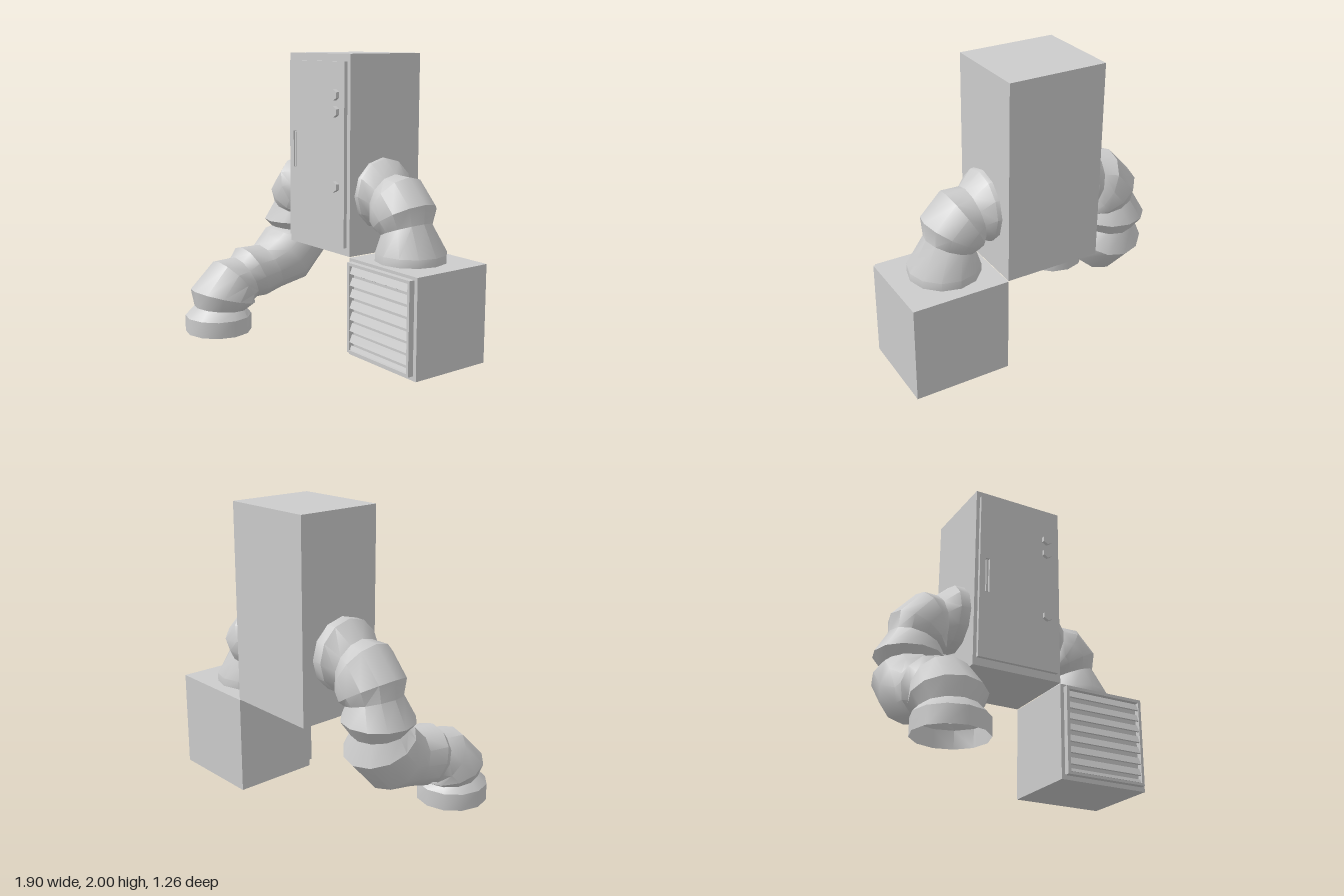
import * as THREE from 'three';
import { toCreasedNormals } from 'three/addons/utils/BufferGeometryUtils.js';

const grey = new THREE.MeshStandardMaterial({ color: 0xcccccc });
const greyOpen = new THREE.MeshStandardMaterial({ color: 0xcccccc, side: THREE.DoubleSide });
const SIDES = 12;

function mesh(name, geometry, material = grey) {
  const m = new THREE.Mesh(geometry, material);
  m.name = name;
  return m;
}

// Box given by its two opposite corners
function box(name, [x0, y0, z0], [x1, y1, z1]) {
  const m = mesh(name, new THREE.BoxGeometry(x1 - x0, y1 - y0, z1 - z0));
  m.position.set((x0 + x1) / 2, (y0 + y1) / 2, (z0 + z1) / 2);
  return m;
}

// Upright plate with a rectangular opening; rectangles are [x0, y0, x1, y1]
function plate(name, outer, hole, z, depth) {
  const corners = ([a, b, c, d]) => [[a, b], [c, b], [c, d], [a, d]].map(p => new THREE.Vector2(...p));
  const shape = new THREE.Shape(corners(outer));
  shape.holes.push(new THREE.Path(corners(hole).reverse()));
  const m = mesh(name, new THREE.ExtrudeGeometry(shape, { depth, bevelEnabled: false }));
  m.position.z = z;
  return m;
}

// Ribbed hose: each ring is a circle spanned by two opposite points of the bend plane
function hose(name, rings, toPoint, axis) {
  const positions = [], index = [];
  rings.forEach(([ax, ay, bx, by], i) => {
    const a = toPoint(ax, ay), b = toPoint(bx, by);
    const centre = a.clone().add(b).multiplyScalar(0.5);
    const u = a.sub(centre), r = u.length();
    for (let j = 0; j < SIDES; j++) {
      const t = (j / SIDES) * Math.PI * 2;
      const p = centre.clone().addScaledVector(u, Math.cos(t)).addScaledVector(axis, r * Math.sin(t));
      positions.push(p.x, p.y, p.z);
      if (i > 0) {
        const k = (j + 1) % SIDES, p0 = (i - 1) * SIDES, p1 = i * SIDES;
        index.push(p0 + j, p0 + k, p1 + k, p0 + j, p1 + k, p1 + j);
      }
    }
  });
  const g = new THREE.BufferGeometry();
  g.setAttribute('position', new THREE.Float32BufferAttribute(positions, 3));
  g.setIndex(index);
  return mesh(name, toCreasedNormals(g, 0.65), greyOpen);
}

export function createModel() {
  const model = new THREE.Group();
  model.name = 'ductedCabinet';

  // Tall cabinet and low vent box
  model.add(box('cabinet', [-0.38, 0.67, -0.63], [0.287, 2, -0.03]));
  model.add(box('ventBox', [0.287, 0, -0.63], [0.95, 0.665, -0.03]));

  // Door with a recessed handle
  model.add(plate('door', [-0.355, 0.725, 0.255, 1.95], [-0.312, 1.21, -0.28, 1.465], -0.03, 0.025));
  model.add(box('handle', [-0.303, 1.215, -0.03], [-0.289, 1.46, -0.008]));

  // Hexagonal knobs
  for (const y of [1.735, 1.625, 1.13]) {
    const knob = mesh('knob', new THREE.CylinderGeometry(0.037, 0.037, 0.025, 6).toNonIndexed());
    knob.geometry.computeVertexNormals();
    knob.rotation.x = Math.PI / 2;
    knob.position.set(0.17, y, 0.008);
    model.add(knob);
  }

  // Vent grille: frame and slanted slats
  model.add(plate('ventFrame', [0.313, 0.03, 0.922, 0.645], [0.335, 0.048, 0.902, 0.625], -0.03, 0.04));
  for (let i = 0; i < 8; i++) {
    const h = i < 7 ? 0.056 : 0.026;
    const slat = mesh('ventSlat', new THREE.BoxGeometry(0.567, h, 0.01));
    slat.rotation.x = -0.42;
    slat.position.set(0.6185, 0.622 - i * 0.078 - h / 2, -0.01);
    model.add(slat);
  }

  // Left elbow, cabinet side to vent box top
  const sideways = (x, y) => new THREE.Vector3(x, y, -0.31);
  model.add(hose('leftElbow', [
    [0.28, 1.315, 0.28, 0.83],
    [0.315, 1.31, 0.315, 0.835],
    [0.416, 1.215, 0.335, 0.85],
    [0.55, 1.21, 0.33, 0.82],
    [0.708, 1.05, 0.325, 0.825],
    [0.70, 0.923, 0.37, 0.80],
    [0.82, 0.72, 0.34, 0.72],
    [0.82, 0.66, 0.34, 0.66],
  ], sideways, new THREE.Vector3(0, 0, 1)));

  // Right elbow, cabinet side bending down
  model.add(hose('rightElbow', [
    [-0.37, 1.333, -0.37, 0.853],
    [-0.45, 1.333, -0.45, 0.853],
    [-0.565, 1.23, -0.48, 0.87],
    [-0.687, 1.225, -0.475, 0.83],
    [-0.857, 1.04, -0.47, 0.81],
    [-0.857, 0.915, -0.495, 0.81],
    [-0.953, 0.75, -0.475, 0.75],
  ], sideways, new THREE.Vector3(0, 0, -1)));

  // Right lower hose, bending forward and down to an open foot collar
  model.add(hose('rightLowerHose', [
    [-0.071, 0.75, -0.549, 0.75],
    [-0.12, 0.70, -0.48, 0.65],
    [-0.08, 0.69, -0.52, 0.50],
    [-0.04, 0.65, -0.33, 0.29],
    [0.03, 0.583, -0.11, 0.24],
    [0.183, 0.584, 0.03, 0.20],
    [0.24, 0.515, 0.10, 0.20],
    [0.385, 0.504, 0.125, 0.19],
    [0.58, 0.31, 0.12, 0.18],
    [0.56, 0.185, 0.18, 0.15],
    [0.63, 0.117, 0.152, 0.117],
    [0.63, 0, 0.152, 0],
  ], (z, y) => new THREE.Vector3(-0.714, y, z), new THREE.Vector3(-1, 0, 0)));

  return model;
}
